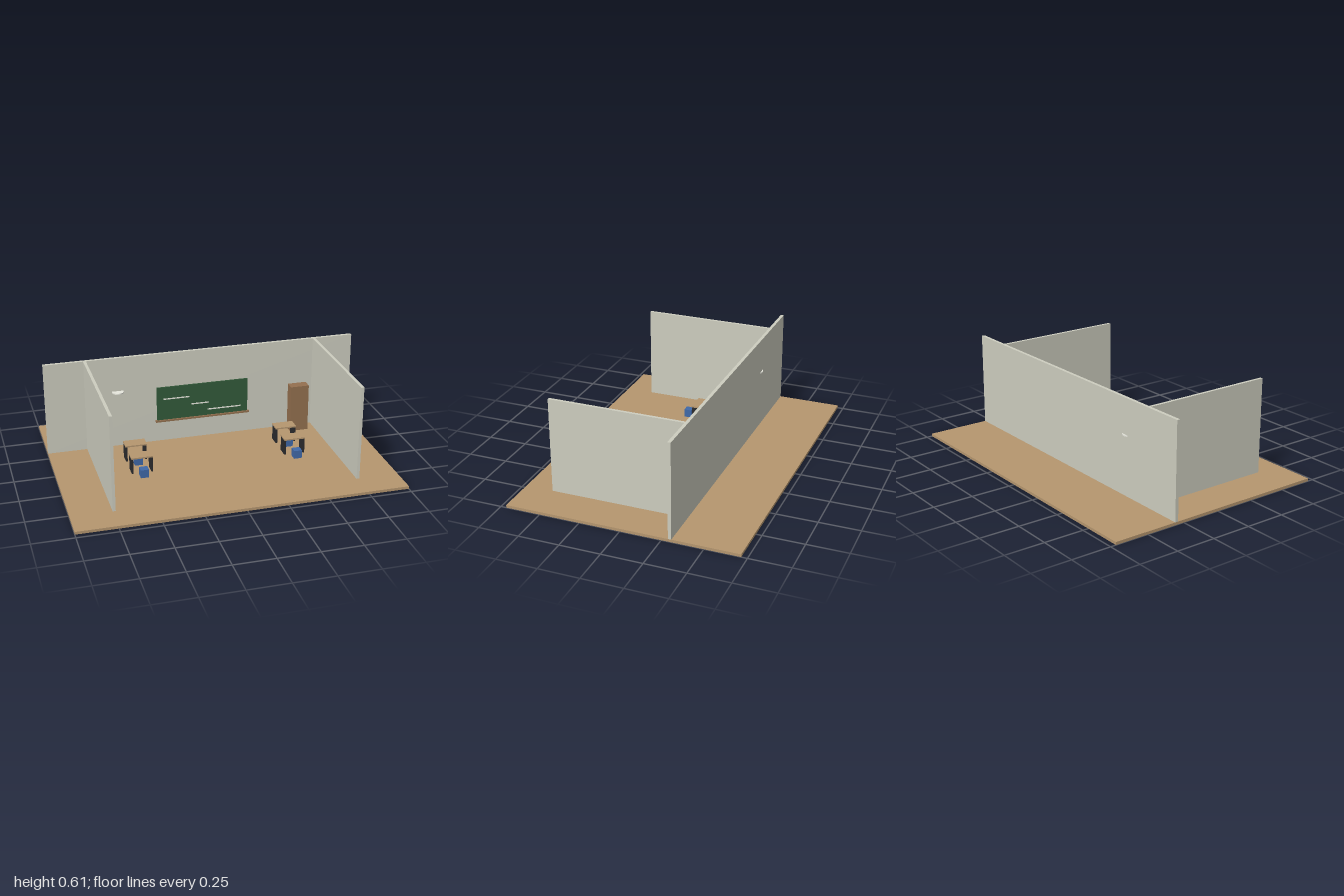
import * as THREE from 'three';

const mat = (name, color) => {
  const m = new THREE.MeshStandardMaterial({ color });
  m.name = name;
  return m;
};

export function createModel() {
  const wood = mat('light wood', 0xb5966f);
  const plaster = mat('plaster', 0xcdcdbf);
  const boardGreen = mat('board green', 0x335a3a);
  const brown = mat('brown wood', 0x94704f);
  const blue = mat('chair blue', 0x4069a8);
  const dark = mat('dark metal', 0x2b2b2d);
  const white = mat('chalk white', 0xe8e8de);

  const room = new THREE.Group();
  room.name = 'classroom';

  // Box given by its min and max on each axis
  const box = (name, material, [x0, x1], [y0, y1], [z0, z1], parent = room) => {
    const mesh = new THREE.Mesh(new THREE.BoxGeometry(x1 - x0, y1 - y0, z1 - z0), material);
    mesh.position.set((x0 + x1) / 2, (y0 + y1) / 2, (z0 + z1) / 2);
    mesh.name = name;
    parent.add(mesh);
    return mesh;
  };

  const floorTop = 0.017;
  const wallTop = 0.612;

  // Floor and walls
  box('floor', wood, [-1, 1], [0, floorTop], [-0.715, 0.715]);
  box('backWall', plaster, [-1, 1], [floorTop, wallTop], [-0.31, -0.29]);
  box('rightWall', plaster, [-0.753, -0.735], [floorTop, wallTop], [-0.29, 0.543]);
  box('leftWall', plaster, [0.735, 0.753], [floorTop, wallTop], [-0.29, 0.543]);

  // Chalkboard with tray and chalk strokes
  const board = new THREE.Group();
  board.name = 'chalkboard';
  room.add(board);
  box('boardPanel', boardGreen, [-0.298, 0.298], [0.163, 0.386], [-0.29, -0.281], board);
  box('chalkTray', brown, [-0.308, 0.308], [0.152, 0.163], [-0.29, -0.271], board);
  for (const [x0, x1, y] of [[-0.257, -0.086, 0.305], [-0.075, 0.043, 0.252], [0.032, 0.251, 0.203]]) {
    box('chalkStroke', white, [x0, x1], [y - 0.004, y + 0.004], [-0.281, -0.279], board);
  }

  // Flat disc set through the back wall
  const disc = new THREE.Mesh(new THREE.CylinderGeometry(0.037, 0.037, 0.007, 24), white);
  disc.name = 'wallDisc';
  disc.position.set(-0.545, 0.388, -0.283);
  room.add(disc);

  // Cabinet
  box('cabinet', brown, [0.566, 0.686], [floorTop, 0.326], [-0.262, -0.198]);

  // Desks with side panels, each with a block chair in front
  for (const x of [-0.486, 0.486]) {
    for (const z of [-0.088, 0.084]) {
      const set = new THREE.Group();
      set.name = 'deskAndChair';
      set.position.set(x, 0, z);
      room.add(set);
      box('deskTop', wood, [-0.067, 0.067], [0.114, 0.123], [-0.04, 0.04], set);
      for (const side of [-1, 1]) {
        const cx = side * 0.0605;
        box('deskLeg', dark, [cx - 0.005, cx + 0.005], [floorTop, 0.114], [-0.037, 0.037], set);
      }
      box('chair', blue, [-0.025, 0.025], [floorTop, 0.069], [0.056, 0.106], set);
    }
  }

  return room;
}
